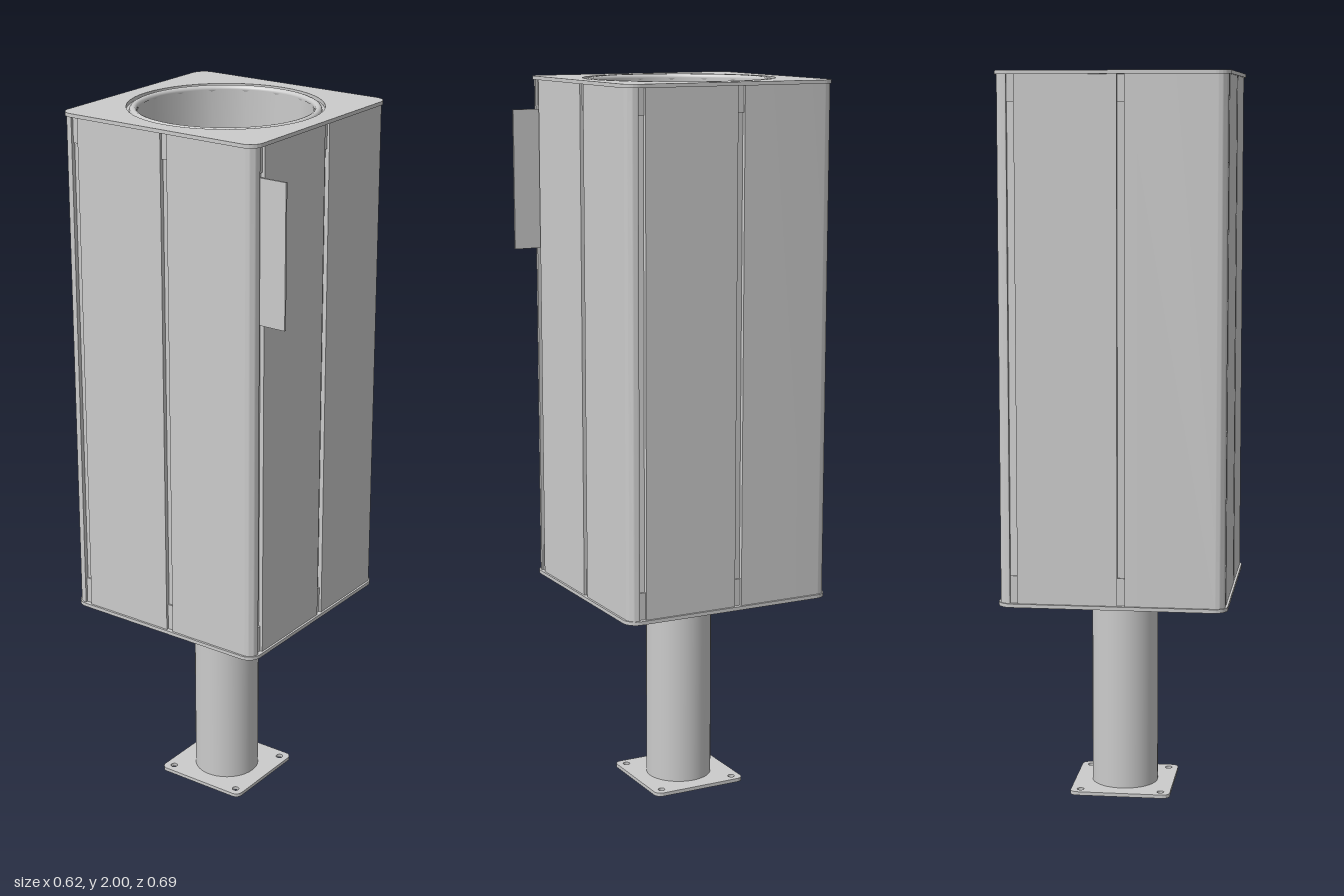
import * as THREE from 'three';
import { toCreasedNormals } from 'three/addons/utils/BufferGeometryUtils.js';

const mat = new THREE.MeshStandardMaterial({ color: 0xcccccc });
const matDouble = new THREE.MeshStandardMaterial({ color: 0xcccccc, side: THREE.DoubleSide });

const HALF = 0.304;   // outer face of the panels
const T = 0.012;      // panel thickness
const BOTTOM = 0.58, TOP = 1.99;

// Square outline with rounded corners
function roundedSquare(h, r, Type = THREE.Shape) {
  const s = new Type();
  s.absarc(h - r, h - r, r, 0, Math.PI / 2);
  s.absarc(-h + r, h - r, r, Math.PI / 2, Math.PI);
  s.absarc(-h + r, -h + r, r, Math.PI, Math.PI * 1.5);
  s.absarc(h - r, -h + r, r, Math.PI * 1.5, Math.PI * 2);
  s.closePath();
  return s;
}

function circleHole(x, y, r) {
  const p = new THREE.Path();
  p.absarc(x, y, r, 0, Math.PI * 2, true);
  return p;
}

// Extrude a plan outline upwards from y0 to y1 (outline y becomes -z)
function extrudeUp(shape, y0, y1, curveSegments = 8) {
  const g = new THREE.ExtrudeGeometry(shape, { depth: y1 - y0, bevelEnabled: false, curveSegments });
  g.rotateX(-Math.PI / 2);
  g.translate(0, y0, 0);
  return toCreasedNormals(g, 0.6);
}

export function createModel() {
  const model = new THREE.Group();
  model.name = 'litterBin';
  const bin = new THREE.Group();
  bin.name = 'bin';
  bin.position.z = -0.034;
  model.add(bin);

  const add = (parent, name, geometry, material = mat) => {
    const m = new THREE.Mesh(geometry, material);
    m.name = name;
    parent.add(m);
    return m;
  };
  const box = (w, h, d, x, y, z) => new THREE.BoxGeometry(w, h, d).translate(x, y, z);

  // Foot plate with four bolt holes
  const foot = roundedSquare(0.14, 0.02);
  for (const x of [-0.113, 0.113]) for (const y of [-0.113, 0.113]) foot.holes.push(circleHole(x, y, 0.01));
  add(bin, 'footPlate', extrudeUp(foot, 0, 0.01));

  // Post
  add(bin, 'post', new THREE.CylinderGeometry(0.093, 0.093, 0.57, 40).translate(0, 0.295, 0));

  // Bottom and top plates
  add(bin, 'bottomPlate', extrudeUp(roundedSquare(0.31, 0.038), 0.575, BOTTOM + 0.005));
  const lid = roundedSquare(0.31, 0.038);
  lid.holes.push(circleHole(0, 0, 0.262));
  add(bin, 'topPlate', extrudeUp(lid, TOP, 2, 24));

  // Recessed inner frame seen through the gaps between panels
  const frame = roundedSquare(HALF - T, 0.02);
  frame.holes.push(roundedSquare(HALF - T - 0.006, 0.016, THREE.Path));
  add(bin, 'innerFrame', extrudeUp(frame, BOTTOM, TOP));

  // Cladding: each side has a flat panel and a panel that wraps the corner
  const r = 0.026, i = HALF - T;
  const corner = new THREE.Shape();
  corner.moveTo(0.035, -HALF);
  corner.lineTo(HALF - r, -HALF);
  corner.absarc(HALF - r, -HALF + r, r, -Math.PI / 2, 0);
  corner.lineTo(HALF, -0.275);
  corner.lineTo(i, -0.275);
  corner.absarc(HALF - r, -HALF + r, r - T, 0, -Math.PI / 2, true);
  corner.lineTo(0.035, -i);
  corner.closePath();
  const cornerGeo = extrudeUp(corner, BOTTOM, TOP);
  const flatGeo = box(0.27, TOP - BOTTOM, T, -0.12, (TOP + BOTTOM) / 2, HALF - T / 2);

  for (let k = 0; k < 4; k++) {
    const side = new THREE.Group();
    side.name = 'claddingSide';
    side.rotation.y = k * Math.PI / 2;
    add(side, 'cornerPanel', cornerGeo);
    add(side, 'flatPanel', flatGeo);
    // Spacer tabs at both ends of each gap
    for (const x of [-0.265, 0.025]) {
      for (const y of [BOTTOM + 0.04, TOP - 0.035]) {
        add(side, 'spacerTab', box(0.02, y < 1 ? 0.08 : 0.07, 0.005, x, y, HALF - T + 0.0025));
      }
    }
    bin.add(side);
  }

  // Round rim and its flange in the opening
  add(bin, 'rim', new THREE.TorusGeometry(0.244, 0.01, 12, 64).rotateX(Math.PI / 2).translate(0, 1.99, 0));
  add(bin, 'rimFlange', new THREE.RingGeometry(0.244, 0.264, 64).rotateX(-Math.PI / 2).translate(0, 1.99, 0), matDouble);

  // Liner bucket, open at the top
  const liner = new THREE.LatheGeometry(
    [[0, 0.62], [0.232, 0.62], [0.232, 0.62], [0.236, 1.99]].map(([x, y]) => new THREE.Vector2(x, y)), 16);
  add(bin, 'liner', toCreasedNormals(liner, 0.6), matDouble);

  // Flag sign fixed in the front gap
  add(model, 'flagSign', box(0.006, 0.385, 0.083, -0.266, 1.7175, 0.3015));

  return model;
}
